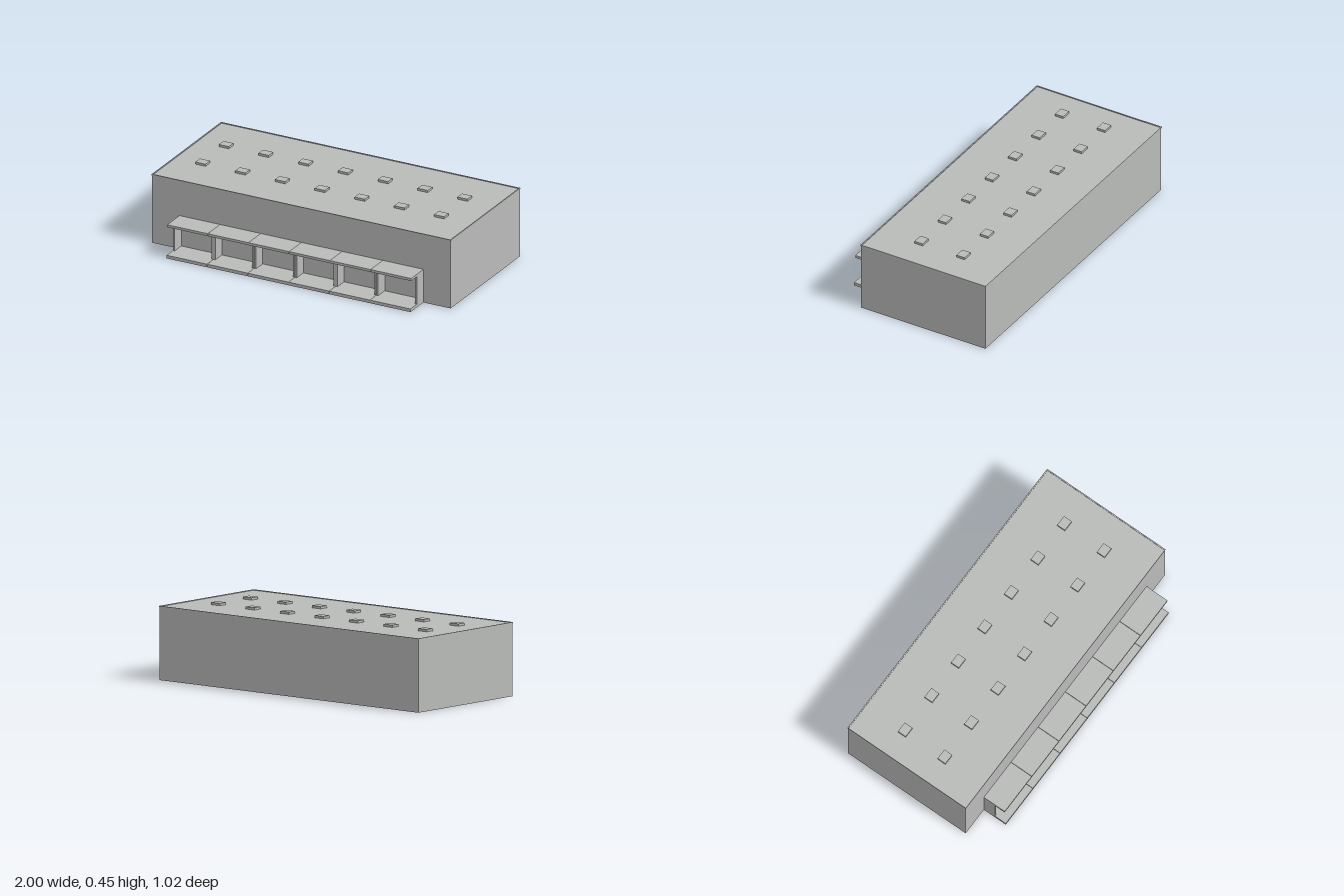
import * as THREE from 'three';

export function createModel() {
  const group = new THREE.Group();
  group.name = 'warehouse';
  const concrete = new THREE.MeshStandardMaterial({ color: 0xb9bbb9 });
  concrete.name = 'light grey concrete';

  // Box given by its limits on each axis
  const box = (name, parent, x0, x1, y0, y1, z0, z1) => {
    const mesh = new THREE.Mesh(new THREE.BoxGeometry(x1 - x0, y1 - y0, z1 - z0), concrete);
    mesh.name = name;
    mesh.position.set((x0 + x1) / 2, (y0 + y1) / 2, (z0 + z1) / 2);
    parent.add(mesh);
    return mesh;
  };

  // Main hall
  const back = -0.504, front = 0.349, roof = 0.437;
  box('hall', group, -0.997, 0.997, 0, roof, back, front);

  // Slim coping around the roof edge, slightly overhanging
  const rect = (path, w, z0, z1) =>
    path.moveTo(-w, -z1).lineTo(w, -z1).lineTo(w, -z0).lineTo(-w, -z0).closePath();
  const rim = new THREE.Shape();
  rect(rim, 1, back - 0.003, front + 0.003);
  const hole = new THREE.Path();
  rect(hole, 0.993, back + 0.004, front - 0.004);
  rim.holes.push(hole);
  const copingGeo = new THREE.ExtrudeGeometry(rim, { depth: 0.008, bevelEnabled: false });
  copingGeo.rotateX(-Math.PI / 2);
  const coping = new THREE.Mesh(copingGeo, concrete);
  coping.name = 'roofCoping';
  coping.position.y = 0.433;
  group.add(coping);

  // Two rows of roof lights
  for (const z of [-0.223, 0.065]) {
    for (let i = 0; i < 7; i++) {
      const x = -0.813 + i * 0.2657;
      box('roofLight', group, x - 0.034, x + 0.034, roof - 0.002, 0.451, z - 0.028, z + 0.028);
    }
  }

  // Loading bays: floor slab, canopy and two side walls each
  const pitch = 0.272, half = 0.135;
  for (let i = 0; i < 6; i++) {
    const bay = new THREE.Group();
    bay.name = 'loadingBay';
    bay.position.x = (i - 2.5) * pitch;
    box('baySlab', bay, -half, half, 0, 0.02, front, 0.508);
    box('bayCanopy', bay, -half, half, 0.197, 0.213, front, 0.5);
    for (const s of [-1, 1]) {
      const c = s * (half - 0.006);
      box('baySideWall', bay, c - 0.006, c + 0.006, 0.02, 0.197, front, 0.43);
    }
    group.add(bay);
  }
  return group;
}
